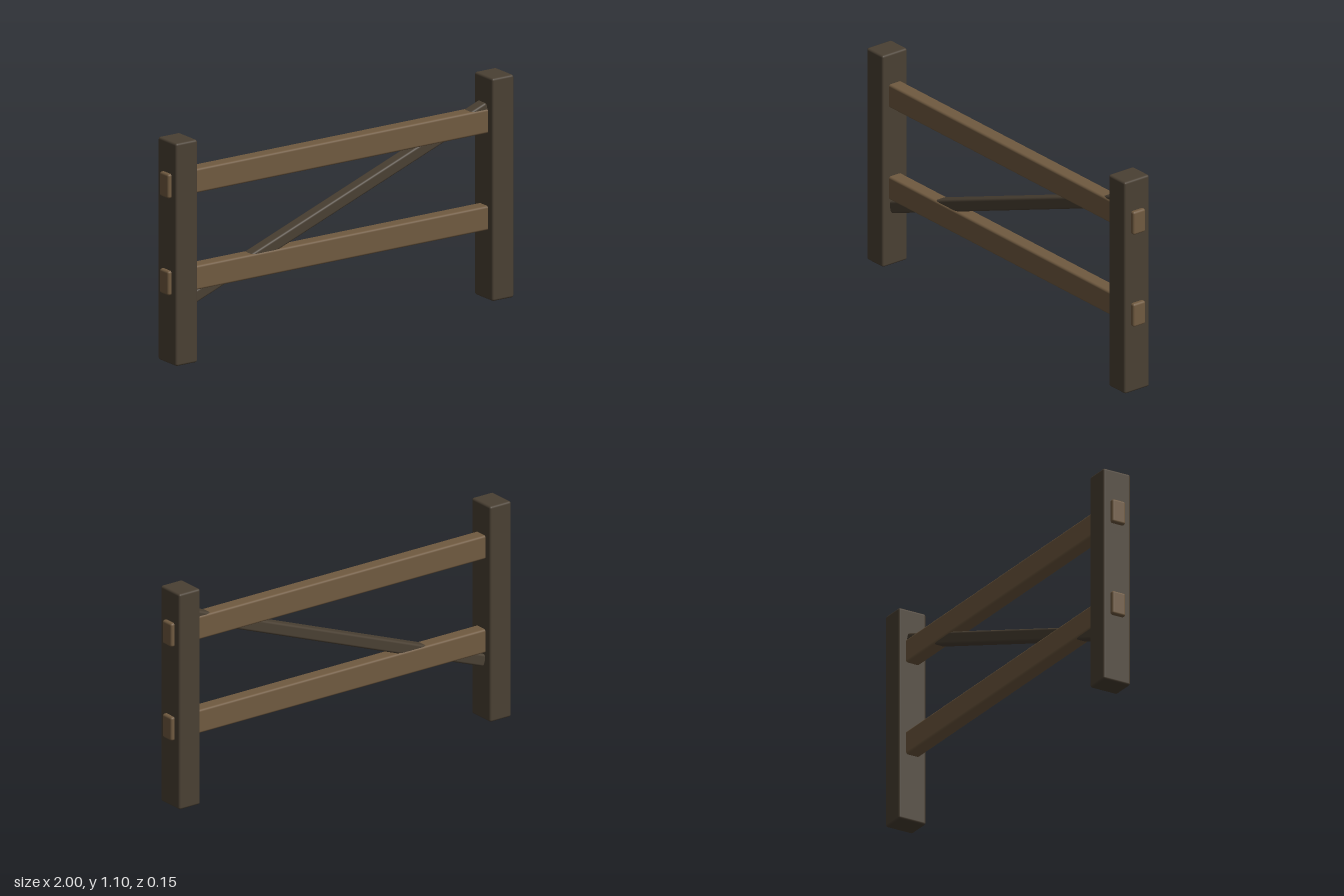
import * as THREE from 'three';
import { RoundedBoxGeometry } from 'three/addons/geometries/RoundedBoxGeometry.js';

const darkWood = new THREE.MeshStandardMaterial({ color: 0x4a4033 });
darkWood.name = 'darkWood';
const lightWood = new THREE.MeshStandardMaterial({ color: 0x705a40 });
lightWood.name = 'lightWood';

// A softly rounded timber, centred on the given point
function timber(name, size, position, material, radius = 0.011) {
  const mesh = new THREE.Mesh(new RoundedBoxGeometry(...size, 3, radius), material);
  mesh.name = name;
  mesh.position.set(...position);
  return mesh;
}

export function createModel() {
  const fence = new THREE.Group();
  fence.name = 'fence';

  // Upright posts
  for (const [name, side] of [['leftPost', 1], ['rightPost', -1]]) {
    fence.add(timber(name, [0.125, 1.1, 0.15], [side * 0.918, 0.55, 0], darkWood));
  }

  // Horizontal rails, whose ends pass through the posts
  for (const [name, y] of [['lowerRail', 0.403], ['upperRail', 0.882]]) {
    fence.add(timber(name, [2, 0.12, 0.074], [0, y, 0], lightWood));
  }

  // Diagonal brace from the foot of the right post to the top of the left
  const brace = timber('brace', [1.84, 0.06, 0.065], [0, 0.623, 0], darkWood);
  brace.rotation.z = Math.atan(0.376);
  fence.add(brace);

  return fence;
}
